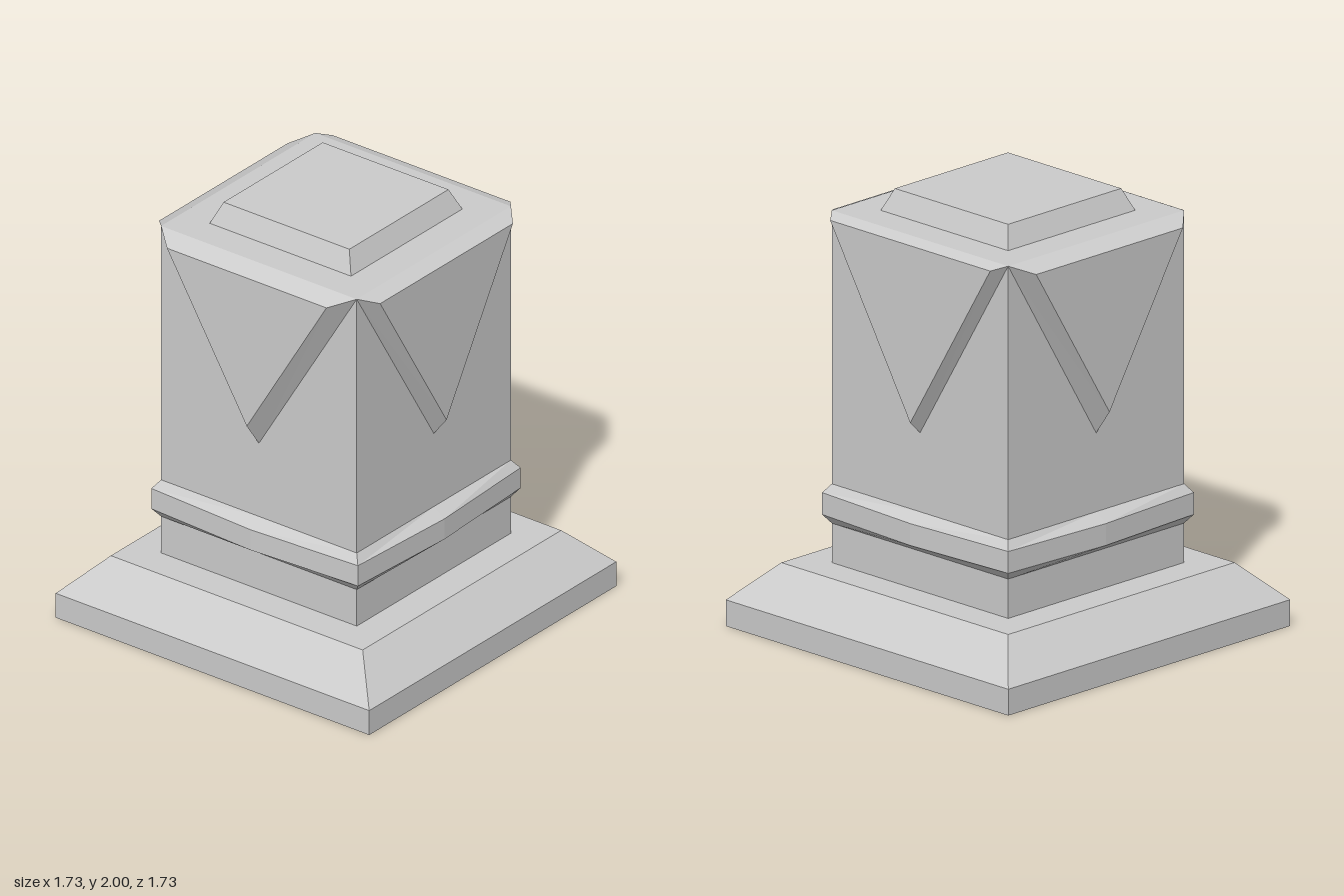
import * as THREE from 'three';

const material = new THREE.MeshStandardMaterial({
  color: 0xcccccc, flatShading: true, side: THREE.DoubleSide,
});

// Skins a stack of equal-length point loops, optionally closing the last one
function loft(name, loops, capEnd = false) {
  const pos = [];
  const tri = (a, b, c) => pos.push(...a, ...b, ...c);
  for (let k = 0; k < loops.length - 1; k++) {
    const lower = loops[k], upper = loops[k + 1], n = lower.length;
    for (let i = 0; i < n; i++) {
      const j = (i + 1) % n;
      tri(lower[i], lower[j], upper[j]);
      tri(lower[i], upper[j], upper[i]);
    }
  }
  if (capEnd) {
    const end = loops[loops.length - 1];
    for (let i = 1; i < end.length - 1; i++) tri(end[0], end[i], end[i + 1]);
  }
  const geometry = new THREE.BufferGeometry();
  geometry.setAttribute('position', new THREE.Float32BufferAttribute(pos, 3));
  geometry.computeVertexNormals();
  const mesh = new THREE.Mesh(geometry, material);
  mesh.name = name;
  return mesh;
}

// Horizontal square of half-width r at height y
const square = (r, y) => [[r, y, r], [r, y, -r], [-r, y, -r], [-r, y, r]];

// Square whose sides bow out to half-width m at their middles
const bowed = (r, m, y) => [
  [r, y, r], [m, y, 0], [r, y, -r], [0, y, -m],
  [-r, y, -r], [-m, y, 0], [-r, y, r], [0, y, m],
];

// Downward-pointing triangle on the plane z
const vee = (w, top, tip, z) => [[-w, top, z], [0, tip, z], [w, top, z]];

export function createModel() {
  const model = new THREE.Group();
  model.name = 'pedestal';
  const S = 0.54;

  // Hollow plinth with sloped shoulders
  model.add(loft('base', [square(0.865, 0), square(0.865, 0.12), square(0.695, 0.29)], true));

  // Square shaft, open below
  model.add(loft('shaft', [square(S, 0.09), square(S, 1.9)], true));

  // Bevelled band with slightly bowed sides
  model.add(loft('band', [
    bowed(S, S, 0.47), bowed(0.57, 0.6, 0.51), bowed(0.57, 0.6, 0.61), bowed(S, S, 0.65),
  ]));

  // Raised triangular panels, one per side: [name, turn, depth, half-width, top, tip]
  const panels = [
    ['frontPanel', 0, 0.61, 0.465, 1.87, 1.1],
    ['leftPanel', 1, 0.6, 0.49, 1.88, 1.07],
    ['backPanel', 2, 0.622, 0.45, 1.86, 1.125],
    ['rightPanel', 3, 0.625, 0.44, 1.86, 1.13],
  ];
  for (const [name, turn, depth, w, top, tip] of panels) {
    const panel = loft(name, [vee(S, 1.9, 1.01, S), vee(w, top, tip, depth)], true);
    panel.rotation.y = turn * Math.PI / 2;
    model.add(panel);
  }

  // Tapered top block
  model.add(loft('topBlock', [square(0.39, 1.9), square(0.347, 2)], true));

  return model;
}
